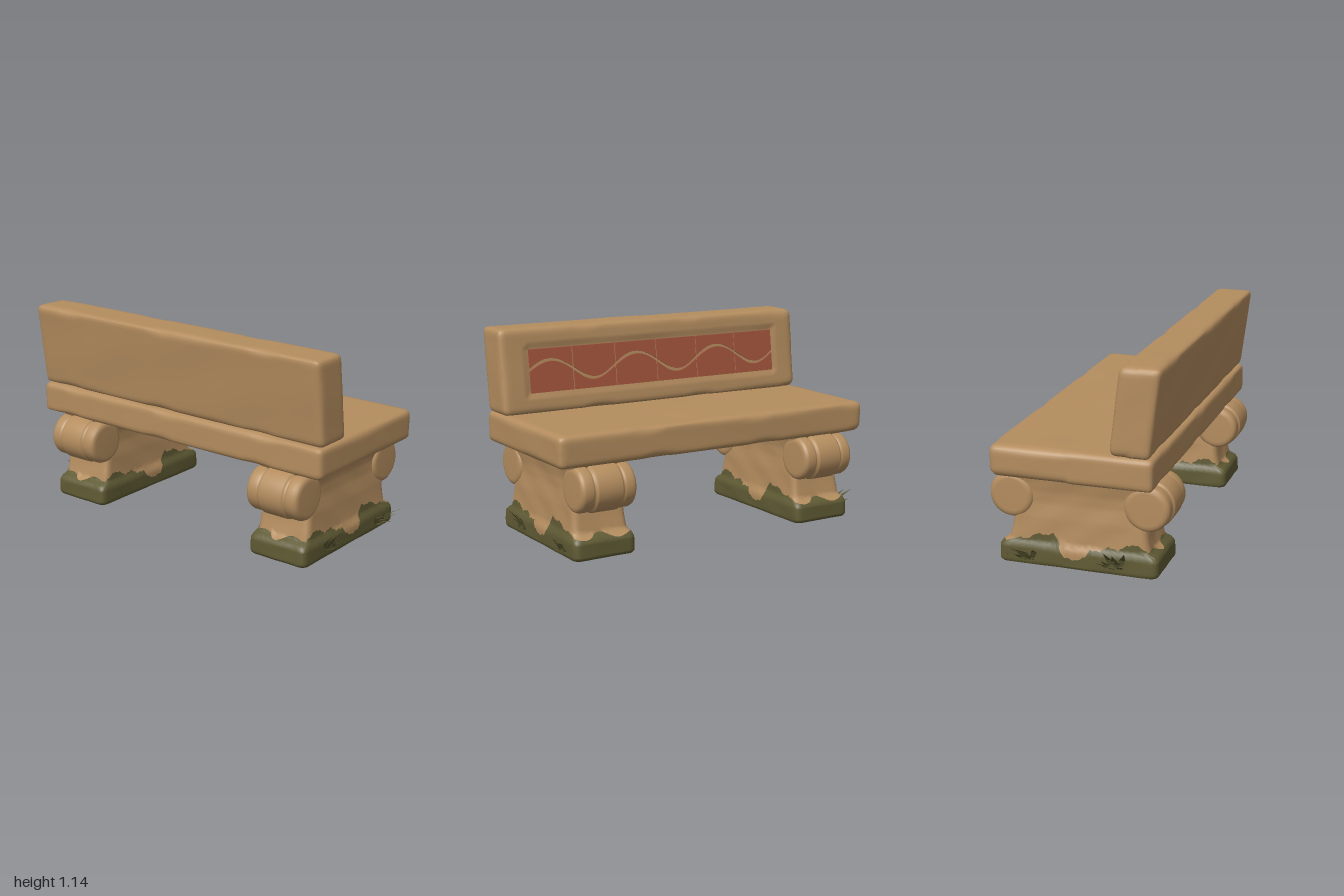
import * as THREE from 'three';
import { mergeVertices, mergeGeometries } from 'three/addons/utils/BufferGeometryUtils.js';

const mat = (name, color, extra = {}) => {
  const m = new THREE.MeshStandardMaterial({ color, ...extra });
  m.name = name;
  return m;
};
const { clamp, lerp } = THREE.MathUtils;

// piecewise-linear lookup in a list of [key, value...] points
function lookup(table, t, k = 1) {
  let i = 1;
  while (i < table.length - 1 && table[i][0] < t) i++;
  const [a, b] = [table[i - 1], table[i]];
  return lerp(a[k], b[k], clamp((t - a[0]) / (b[0] - a[0]), 0, 1));
}

// soft, weathered unevenness
const wobble = (x, y, z) =>
  (Math.sin(7 * z + 5 * x + 1) + Math.sin(13 * z - 9 * y + 2) * 0.7 + Math.sin(11 * x + 17 * y - 5 * z)) / 2.7;

// worn stone block: box grid with unevenly rounded edges
function stoneBlock(w, h, d, radius, nx, ny, nz) {
  let g = new THREE.BoxGeometry(w, h, d, nx, ny, nz);
  g.deleteAttribute('uv');
  g.deleteAttribute('normal');
  g = mergeVertices(g, 1e-4);
  const p = g.attributes.position, v = new THREE.Vector3(), inner = new THREE.Vector3();
  for (let i = 0; i < p.count; i++) {
    v.fromBufferAttribute(p, i);
    const n = wobble(v.x, v.y, v.z);
    const chip = Math.max(0, Math.sin(9.3 * v.z + 6 * Math.sign(v.y) + 4 * Math.sign(v.x)) - 0.6);
    const r = radius * (1 + 0.25 * n + 0.9 * chip);
    inner.set(
      clamp(v.x, r - w / 2, w / 2 - r),
      clamp(v.y, r - h / 2, h / 2 - r),
      clamp(v.z, r - d / 2, d / 2 - r));
    v.sub(inner).setLength(r - 0.003 + 0.003 * n).add(inner);
    p.setXYZ(i, v.x, v.y, v.z);
  }
  return g;
}

// backrest lean and its front plane
const LEAN = 0.125;
const backCentre = y => -0.305 - LEAN * (y - 0.67);
const backFront = y => backCentre(y) + 0.1125;

function backrestGeometry() {
  const g = stoneBlock(0.225, 0.472, 1.955, 0.032, 12, 26, 96);
  g.translate(0, 0.901, 0);
  const p = g.attributes.position;
  for (let i = 0; i < p.count; i++) {
    let x = p.getX(i);
    const y = p.getY(i), z = p.getZ(i);
    // shallow recess for the tiles
    if (x > 0.1 && Math.abs(z) < 0.825 && y > 0.77 && y < 1.03) x = 0.1;
    p.setX(i, x + backCentre(y));
  }
  g.computeVertexNormals();
  return g;
}

// six tile columns, each split in two by a wavy joint
function tileGeometry() {
  const wave = z => 0.897 + 0.06 * Math.cos((2 * Math.PI * (z - 0.68)) / 0.545);
  const parts = [], cols = 6, width = 1.62 / cols, gap = 0.004;
  for (let c = 0; c < cols; c++) {
    const a = -0.81 + c * width + gap, b = a + width - 2 * gap;
    for (const [edge, side] of [[0.78, -1], [1.018, 1]]) {
      const pts = [new THREE.Vector2(b, edge), new THREE.Vector2(a, edge)];
      for (let i = 0; i <= 12; i++) {
        const x = lerp(a, b, i / 12);
        const half = 0.008 + 0.003 * Math.sin(23 * x + side);
        pts.push(new THREE.Vector2(x, wave(-x) + side * half));
      }
      const g = new THREE.ExtrudeGeometry(new THREE.Shape(pts), { depth: 0.009, bevelEnabled: false });
      g.rotateY(Math.PI / 2);
      const p = g.attributes.position;
      for (let i = 0; i < p.count; i++) p.setX(i, p.getX(i) + backFront(p.getY(i)) - 0.0125);
      g.computeVertexNormals();
      parts.push(g);
    }
  }
  return mergeGeometries(parts);
}

// pedestal outline: [height, half width, half depth]
const PEDESTAL = [
  [0, 0.425, 0.173], [0.012, 0.436, 0.18], [0.09, 0.434, 0.18], [0.112, 0.42, 0.172],
  [0.128, 0.385, 0.162], [0.2, 0.37, 0.158], [0.26, 0.36, 0.155], [0.34, 0.35, 0.145],
  [0.4, 0.35, 0.146], [0.45, 0.37, 0.155], [0.505, 0.4, 0.166]];
// upper edge of the moss: [x, height]
const MOSS = [
  [-0.44, 0.13], [-0.37, 0.172], [-0.3, 0.16], [-0.25, 0.13], [-0.19, 0.142], [-0.13, 0.115],
  [-0.07, 0.115], [-0.04, 0.075], [0.01, 0.05], [0.08, 0.065], [0.11, 0.12], [0.155, 0.182],
  [0.2, 0.165], [0.26, 0.172], [0.32, 0.135], [0.37, 0.14], [0.44, 0.11]];

// walk round a unit square, +x side first
const PERIMETER = [];
for (const [ax, az, bx, bz, n] of [
  [1, 1, 1, -1, 24], [1, -1, -1, -1, 60], [-1, -1, -1, 1, 24], [-1, 1, 1, 1, 60]])
  for (let i = 0; i < n; i++) PERIMETER.push([lerp(ax, bx, i / n), lerp(az, bz, i / n)]);

function pedestalPoint([a, b], y, scale = 1) {
  const hx = lookup(PEDESTAL, y, 1), hz = lookup(PEDESTAL, y, 2), r = 0.035;
  let x = a * hx, z = b * hz;
  const ix = clamp(x, r - hx, hx - r), iz = clamp(z, r - hz, hz - r);
  const len = Math.hypot(x - ix, z - iz) || 1;
  const rr = r + 0.003 * wobble(x * 2, y * 2, z * 3);
  x = ix + ((x - ix) / len) * rr;
  z = iz + ((z - iz) / len) * rr;
  return [x * scale, y, z * scale];
}

const mossHeight = ([a, b]) =>
  lookup(MOSS, a * 0.436) + (Math.abs(a) === 1 ? 0.018 * Math.sin(b * 5 + a) * (1 - b * b) : 0)
  + 0.004 * Math.sin(a * 70);

// skin rows of perimeter points; each row maps a perimeter point to a position
function loft(rows) {
  const pos = [], idx = [], n = PERIMETER.length;
  rows.forEach((row, j) => PERIMETER.forEach((q, i) => {
    pos.push(...row(q));
    if (!j) return;
    const k = (i + 1) % n, lo = (j - 1) * n, hi = j * n;
    idx.push(lo + i, lo + k, hi + i, lo + k, hi + k, hi + i);
  }));
  const g = new THREE.BufferGeometry();
  g.setAttribute('position', new THREE.Float32BufferAttribute(pos, 3));
  g.setIndex(idx);
  g.computeVertexNormals();
  return g;
}

// fan of pointed, bent leaves growing out of the pedestal foot
function grassGeometry(x0, side, height, reach, count) {
  const pos = [];
  for (let i = 0; i < count; i++) {
    const t = (i / (count - 1)) * 2 - 1;
    const len = height * (0.65 + 0.35 * Math.cos(i * 2.4));
    const out = reach * (0.45 + 0.55 * Math.abs(Math.sin(i * 1.9 + 1.57)));
    const at = (s, w) => [x0 + t * (0.02 + 0.06 * s) + w, 0.012 + len * s * (1.25 - 0.25 * s), side * (0.875 + out * s * s + 0.012 * s)];
    const [b0, b1, m0, m1, tip] = [at(0, -0.01), at(0, 0.01), at(0.5, -0.017), at(0.5, 0.017), at(1, 0)];
    pos.push(...b0, ...b1, ...m1, ...b0, ...m1, ...m0, ...m0, ...m1, ...tip);
  }
  const g = new THREE.BufferGeometry();
  g.setAttribute('position', new THREE.Float32BufferAttribute(pos, 3));
  g.computeVertexNormals();
  return g;
}

export function createModel() {
  const stone = mat('sandstone', 0xb48d5f);
  const clay = mat('clay tile', 0xa3553d);
  const moss = mat('moss', 0x5f5a34);
  const leaf = mat('grass', 0x56542f, { side: THREE.DoubleSide });
  const model = new THREE.Group();
  model.name = 'stoneBench';
  const add = (parent, name, geometry, material, x = 0, y = 0, z = 0) => {
    const m = new THREE.Mesh(geometry, material);
    m.name = name;
    m.position.set(x, y, z);
    parent.add(m);
  };

  // seat slab and leaning backrest
  const seat = stoneBlock(0.885, 0.178, 1.955, 0.034, 40, 12, 90);
  seat.computeVertexNormals();
  add(model, 'seat', seat, stone, 0.008, 0.583, 0);
  add(model, 'backrest', backrestGeometry(), stone);
  add(model, 'backrestTiles', tileGeometry(), clay);

  // pedestal surfaces, split along the moss line
  const steps = n => Array.from({ length: n + 1 }, (_, i) => i / n);
  const mossSkin = loft([
    q => pedestalPoint(q, 0, 0), q => pedestalPoint(q, 0),
    ...steps(16).map(s => q => pedestalPoint(q, mossHeight(q) * s))]);
  const stoneSkin = loft(steps(26).map(s => q => pedestalPoint(q, lerp(mossHeight(q), 0.505, s))));

  // scroll roll with two grooves round it
  const half = [[0.13, 0], [0.13, 0.068], [0.125, 0.076], [0.114, 0.082], [0.119, 0.09],
    [0.123, 0.1], [0.123, 0.138], [0.117, 0.152], [0.105, 0.16], [0.088, 0.163], [0, 0.163]];
  const outline = [...half.slice(1).reverse().map(([r, t]) => [r, -t]), ...half];
  const scroll = new THREE.LatheGeometry(outline.map(([r, t]) => new THREE.Vector2(r, t)), 40);
  scroll.rotateX(Math.PI / 2);

  for (const side of [1, -1]) {
    const leg = new THREE.Group();
    leg.name = side > 0 ? 'frontLeg' : 'rearLeg';
    const z = side * 0.707;
    add(leg, 'pedestal', stoneSkin, stone, 0, 0, z);
    add(leg, 'mossyFoot', mossSkin, moss, 0, 0, z);
    for (const x of [-0.368, 0.368]) add(leg, 'scroll', scroll, stone, x, 0.368, z);
    add(leg, 'grassLarge', grassGeometry(-0.2, side, 0.14, 0.07, 8), leaf);
    add(leg, 'grassSmall', grassGeometry(0.28, side, 0.12, 0.113, 7), leaf);
    model.add(leg);
  }
  return model;
}
